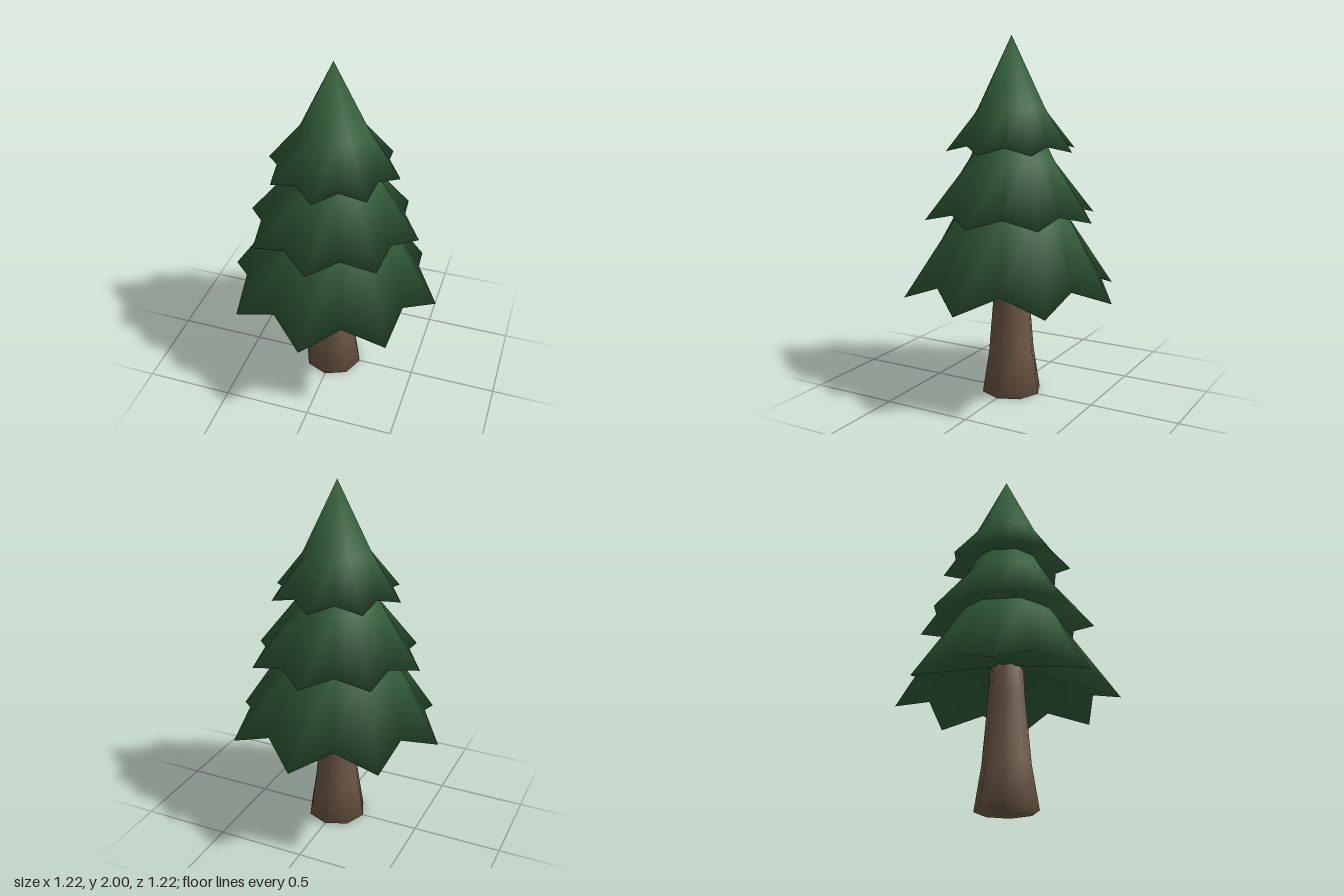
import * as THREE from 'three';

// Closed, smooth-shaded solid from a bottom pole, a stack of rings and a top pole.
// Each ring is a function of the side index returning [radius, height].
function ringSolid(sides, bottomY, rings, topY) {
  const positions = [0, bottomY, 0];
  for (const ring of rings) {
    for (let i = 0; i < sides; i++) {
      const angle = (i / sides) * Math.PI * 2;
      const [r, y] = ring(i);
      positions.push(Math.sin(angle) * r, y, Math.cos(angle) * r);
    }
  }
  positions.push(0, topY, 0);
  const top = positions.length / 3 - 1;
  const at = (k, i) => 1 + k * sides + (i % sides);
  const index = [];
  for (let i = 0; i < sides; i++) {
    index.push(0, at(0, i + 1), at(0, i));
    for (let k = 0; k < rings.length - 1; k++) {
      index.push(at(k, i), at(k, i + 1), at(k + 1, i + 1));
      index.push(at(k, i), at(k + 1, i + 1), at(k + 1, i));
    }
    index.push(at(rings.length - 1, i), at(rings.length - 1, i + 1), top);
  }
  const geometry = new THREE.BufferGeometry();
  geometry.setAttribute('position', new THREE.Float32BufferAttribute(positions, 3));
  geometry.setIndex(index);
  geometry.computeVertexNormals();
  return geometry;
}

export function createModel() {
  const tree = new THREE.Group();
  tree.name = 'pineTree';

  const needles = new THREE.MeshStandardMaterial({ color: 0x335f3b });
  needles.name = 'needle green';
  const bark = new THREE.MeshStandardMaterial({ color: 0x6e5846 });
  bark.name = 'bark brown';

  const add = (name, geometry, material) => {
    const mesh = new THREE.Mesh(geometry, material);
    mesh.name = name;
    tree.add(mesh);
  };

  // Eight-sided trunk, flared at the foot
  const trunkRings = [[0.17, 0], [0.132, 0.24], [0.1, 0.62], [0.09, 0.85]];
  add('trunk', ringSolid(8, 0, trunkRings.map((p) => () => p), 0.86), bark);

  // Foliage tiers: eight-pointed rim, hollowed underside, round shoulder, peak
  const tiers = [
    { name: 'lowerFoliage', under: 0.8, tip: [0.61, 0.59], notch: [0.5, 0.68], shoulder: [0.31, 1.03], peak: 1.5 },
    { name: 'middleFoliage', under: 1.14, tip: [0.487, 1.015], notch: [0.4, 1.06], shoulder: [0.235, 1.33], peak: 1.8 },
    { name: 'upperFoliage', under: 1.47, tip: [0.367, 1.385], notch: [0.3, 1.42], shoulder: [0.184, 1.61], peak: 2 },
  ];
  for (const t of tiers) {
    const rim = (i) => (i % 2 === 0 ? t.tip : t.notch);
    add(t.name, ringSolid(16, t.under, [rim, () => t.shoulder], t.peak), needles);
  }

  return tree;
}
